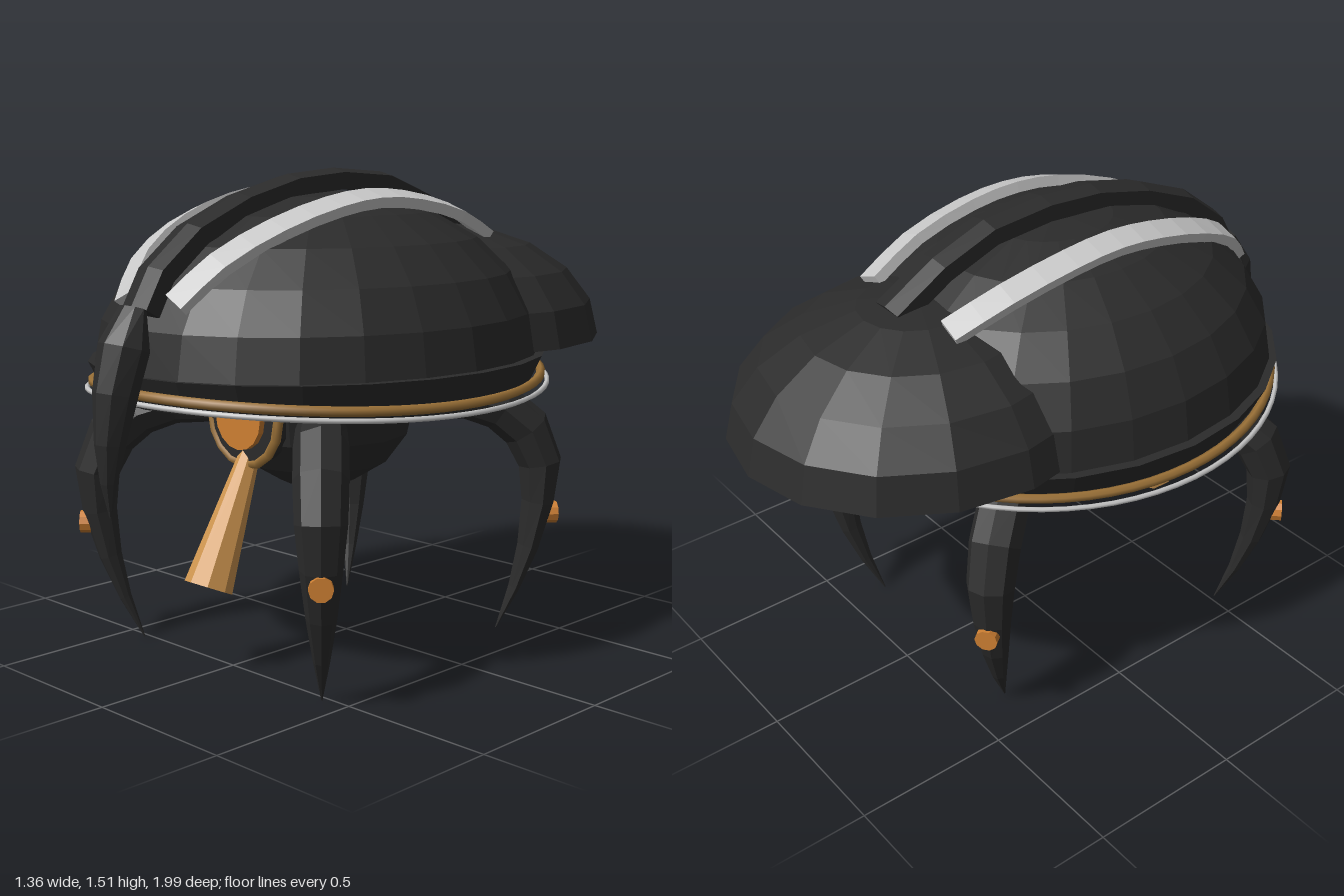
import * as THREE from 'three';

const V = (x, y, z) => new THREE.Vector3(x, y, z);
const paint = (name, color) => Object.assign(new THREE.MeshStandardMaterial({ color }), { name });

// Faceted normals
function flat(geo) {
  const g = geo.index ? geo.toNonIndexed() : geo;
  g.computeVertexNormals();
  return g;
}

// Sweep a profile along points; sizes are [halfWidth, halfDepth] per point.
// sideAt(point, tangent) gives the direction of the profile's width.
function loft(points, sizes, profile, sideAt) {
  const pos = [], idx = [], n = profile.length, last = points.length - 1;
  points.forEach((p, i) => {
    const t = points[Math.min(i + 1, last)].clone().sub(points[Math.max(i - 1, 0)]).normalize();
    const out = t.clone().cross(sideAt(p, t)).normalize();
    const side = out.clone().cross(t);
    for (const [u, v] of profile) {
      const q = p.clone().addScaledVector(side, u * sizes[i][0]).addScaledVector(out, v * sizes[i][1]);
      pos.push(q.x, q.y, q.z);
    }
  });
  for (let i = 0; i < last; i++) {
    for (let j = 0; j < n; j++) {
      const a = i * n + j, b = i * n + (j + 1) % n;
      idx.push(a, b, b + n, a, b + n, a + n);
    }
  }
  for (let j = 1; j < n - 1; j++) {
    idx.push(0, j + 1, j, last * n, last * n + j, last * n + j + 1);
  }
  const g = new THREE.BufferGeometry();
  g.setAttribute('position', new THREE.Float32BufferAttribute(pos, 3));
  g.setIndex(idx);
  return flat(g);
}

const ngon = (n) => Array.from({ length: n }, (_, i) => {
  const a = (i / n) * Math.PI * 2;
  return [Math.cos(a), Math.sin(a)];
});

export function createModel() {
  const black = paint('black shell', 0x2b2b2b);
  const silver = paint('silver trim', 0xc8c8c8);
  const gold = paint('dark gold trim', 0x9c7238);
  const brass = paint('brass', 0xcf9650);
  const bronze = paint('bronze', 0xcd7f32);

  const model = new THREE.Group();
  const add = (name, geo, mat, parent = model) => {
    const m = new THREE.Mesh(geo, mat);
    m.name = name;
    parent.add(m);
    return m;
  };
  const CZ = 0.11;
  const halfDome = (seg, rows, rx, ry, rz) =>
    flat(new THREE.SphereGeometry(1, seg, rows, 0, Math.PI * 2, 0, Math.PI / 2).scale(rx, ry, rz));

  // Main shell and its inward-sloping rim
  add('dome', halfDome(24, 6, 0.635, 0.51, 0.75), black).position.set(0, 0.94, CZ);
  add('rim', flat(new THREE.CylinderGeometry(0.665, 0.62, 0.1, 24).scale(1, 1, 1.15)), black)
    .position.set(0, 0.895, CZ);

  // Rear lobe with closed underside
  add('rearLobe', halfDome(16, 5, 0.55, 0.38, 0.6), black).position.set(0, 0.95, -0.4);
  add('rearLobeUnderside', new THREE.CircleGeometry(1, 16).rotateX(Math.PI / 2).scale(0.55, 1, 0.6), black)
    .position.set(0, 0.95, -0.4);

  // Trim rings, dipping at the sides
  const ring = (name, rx, rz, y, tube, mat) => {
    const pts = Array.from({ length: 32 }, (_, i) => {
      const a = (i / 32) * Math.PI * 2;
      return V(rx * Math.sin(a), y - 0.038 * Math.sin(a) ** 2, CZ + rz * Math.cos(a));
    });
    add(name, new THREE.TubeGeometry(new THREE.CatmullRomCurve3(pts, true), 64, tube, 6, true), mat);
  };
  ring('goldRing', 0.645, 0.755, 0.895, 0.015, gold);
  ring('silverRing', 0.671, 0.768, 0.872, 0.008, silver);

  // Central crest with a low ridge
  const crest = [[1.31, -0.5], [1.41, -0.33], [1.475, -0.15], [1.49, 0.06], [1.475, 0.25],
    [1.425, 0.45], [1.345, 0.64], [1.235, 0.78], [1.13, 0.84]].map(([y, z]) => V(0, y, z));
  add('crest', loft(crest, crest.map(() => [0.055, 0.025]),
    [[-1, -1.6], [1, -1.6], [1, 0.5], [0, 1], [-1, 0.5]], () => V(1, 0, 0)), black);

  // Silver strips lying on the dome
  const domeNormal = (p) => V(p.x / 0.4, (p.y - 0.94) / 0.26, (p.z - CZ) / 0.56);
  for (const s of [-1, 1]) {
    const pts = new THREE.CatmullRomCurve3([[0.2, 1.305, -0.43], [0.235, 1.375, -0.25], [0.25, 1.42, -0.03],
      [0.25, 1.43, 0.14], [0.245, 1.41, 0.3], [0.22, 1.352, 0.5], [0.17, 1.26, 0.68], [0.11, 1.15, 0.79]]
      .map(([x, y, z]) => V(s * x, y, z))).getPoints(14);
    add(s > 0 ? 'leftStrip' : 'rightStrip', loft(pts, pts.map(() => [0.04, 0.017]),
      [[-1, -1], [1, -1], [1, 1], [-1, 1]], (p, t) => domeNormal(p).cross(t)), silver);
  }

  // Front horn: y, z, half width, half depth
  const horn = [[1.14, 0.855, 0.05, 0.03], [1.03, 0.89, 0.08, 0.07], [0.9, 0.925, 0.064, 0.066],
    [0.76, 0.947, 0.042, 0.048], [0.65, 0.955, 0.022, 0.026], [0.55, 0.952, 0.003, 0.003]];
  add('horn', loft(horn.map(([y, z]) => V(0, y, z)), horn.map((h) => [h[2], h[3]]),
    ngon(8), () => V(1, 0, 0)), black);

  // Round belly
  add('belly', flat(new THREE.SphereGeometry(1, 12, 8).scale(0.31, 0.285, 0.32)), black)
    .position.set(0, 0.8, 0.13);

  // Eye in the front of the belly
  const eye = new THREE.Group();
  eye.name = 'eye';
  eye.position.set(0, 0.775, 0.44);
  model.add(eye);
  const disc = (r, h, n) => flat(new THREE.CylinderGeometry(r, r, h, n).rotateX(Math.PI / 2));
  add('eyeSocket', disc(0.145, 0.1, 16), black, eye).position.z = -0.04;
  add('eyeRim', new THREE.TorusGeometry(0.148, 0.016, 6, 16), gold, eye);
  add('eyeLens', disc(0.1, 0.02, 16), bronze, eye).position.z = 0.02;

  // Flared barrel pointing down and forward
  const top = V(0, 0.66, 0.42), end = V(0, 0.27, 0.595);
  const barrel = add('barrel', flat(new THREE.CylinderGeometry(0.032, 0.075, top.distanceTo(end), 8)), brass);
  barrel.position.copy(top).lerp(end, 0.5);
  barrel.quaternion.setFromUnitVectors(V(0, 1, 0), top.clone().sub(end).normalize());

  // Curved legs: radius from centre, y, half width, half depth
  const leg = [[0.26, 0.76, 0.05, 0.05], [0.36, 0.78, 0.065, 0.065], [0.47, 0.783, 0.075, 0.072],
    [0.58, 0.75, 0.08, 0.078], [0.67, 0.675, 0.08, 0.08], [0.72, 0.56, 0.075, 0.072],
    [0.715, 0.43, 0.062, 0.055], [0.685, 0.28, 0.045, 0.037], [0.64, 0.14, 0.025, 0.02],
    [0.58, 0.002, 0.002, 0.002]];
  const legGeo = loft(leg.map(([r, y]) => V(r, y, 0)), leg.map((l) => [l[2], l[3]]),
    ngon(8), () => V(0, 0, 1));
  const studGeo = flat(new THREE.CylinderGeometry(0.036, 0.036, 0.035, 10).rotateZ(Math.PI / 2));
  const degrees = { frontLeft: -45, frontRight: -135, backLeft: 53.5, backRight: 126.5 };
  for (const [name, deg] of Object.entries(degrees)) {
    const g = new THREE.Group();
    g.name = name + 'Leg';
    g.position.z = 0.11;
    g.rotation.y = THREE.MathUtils.degToRad(deg);
    add('claw', legGeo, black, g);
    add('stud', studGeo, bronze, g).position.set(0.76, 0.39, 0);
    model.add(g);
  }
  return model;
}
